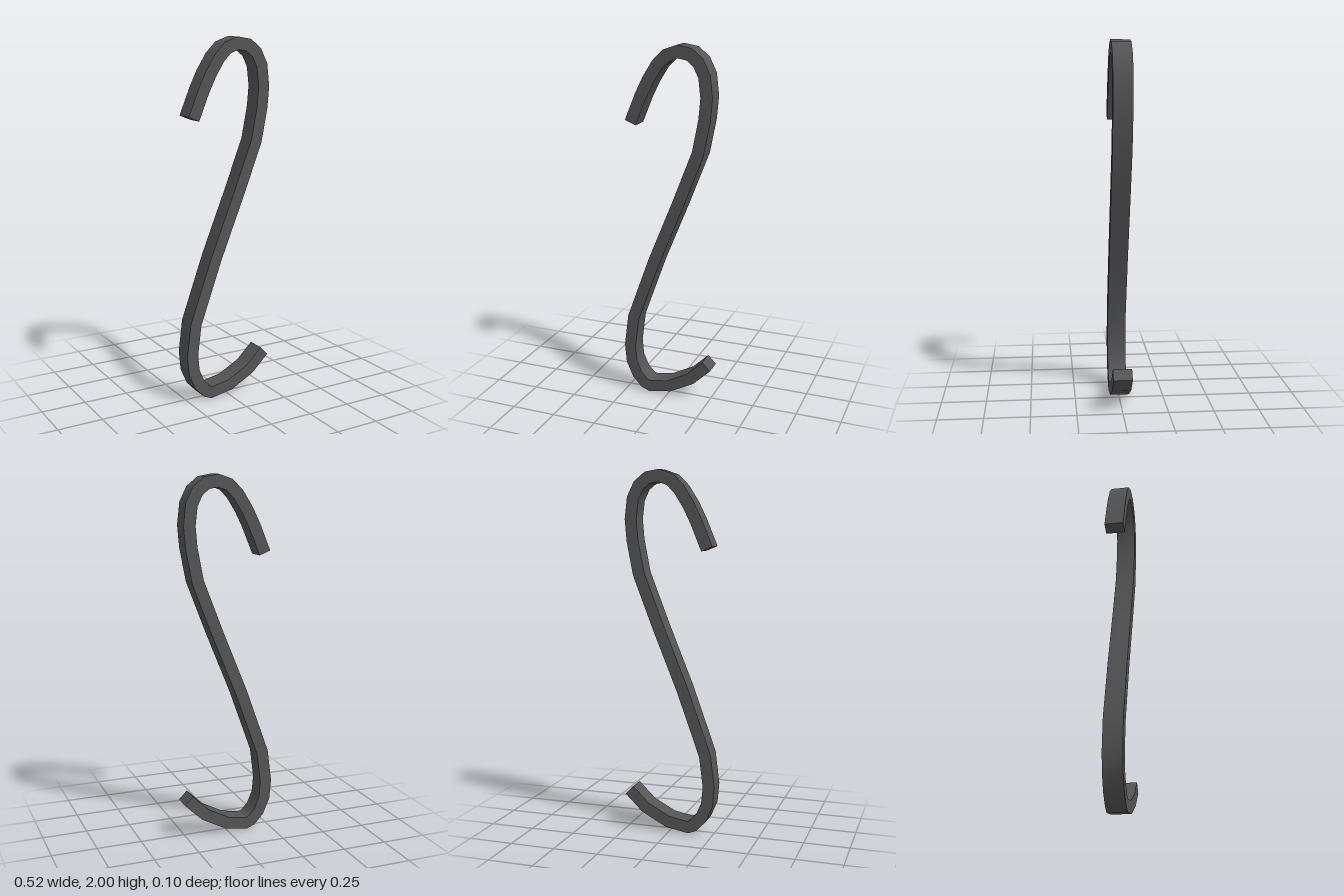
import * as THREE from 'three';
import { toCreasedNormals } from 'three/addons/utils/BufferGeometryUtils.js';

const HALF_WIDTH = 0.033;
const DEPTH = 0.105;

// Centre line of the bent bar, from the upper tip to the lower tip
const PATH = [
  [-0.21, 1.58], [-0.15, 1.725], [-0.108, 1.81], [-0.055, 1.894], [-0.005, 1.944],
  [0.058, 1.966], [0.122, 1.955], [0.172, 1.915], [0.206, 1.846], [0.219, 1.735],
  [0.209, 1.62], [0.174, 1.44], [0.063, 1.154], [-0.077, 0.811], [-0.206, 0.452],
  [-0.228, 0.277], [-0.219, 0.177], [-0.185, 0.098], [-0.14, 0.05], [-0.108, 0.037],
  [0.01, 0.058], [0.14, 0.127], [0.236, 0.22],
].map(([x, y]) => new THREE.Vector2(x, y));

// Mitred offset of the centre line to one side
function offset(path, distance) {
  const normals = path.slice(1).map((p, i) => {
    const d = p.clone().sub(path[i]).normalize();
    return new THREE.Vector2(-d.y, d.x);
  });
  return path.map((p, i) => {
    const a = normals[Math.max(i - 1, 0)];
    const b = normals[Math.min(i, normals.length - 1)];
    const miter = a.clone().add(b).normalize();
    return p.clone().addScaledVector(miter, distance / miter.dot(a));
  });
}

export function createModel() {
  const group = new THREE.Group();
  group.name = 'sHook';

  // Flat bar: both offset edges joined into one outline and extruded
  const outline = [...offset(PATH, HALF_WIDTH), ...offset(PATH, -HALF_WIDTH).reverse()];
  const bar = new THREE.ExtrudeGeometry(new THREE.Shape(outline), {
    depth: DEPTH, bevelEnabled: false, steps: 1,
  });
  bar.translate(0, 0, -DEPTH / 2);

  // Smooth along the bend, sharp along the bar's edges and at its tips
  const hook = new THREE.Mesh(
    toCreasedNormals(bar, Math.PI / 3),
    new THREE.MeshStandardMaterial({ color: 0x555555 }),
  );
  hook.name = 'hookBar';
  group.add(hook);
  return group;
}
